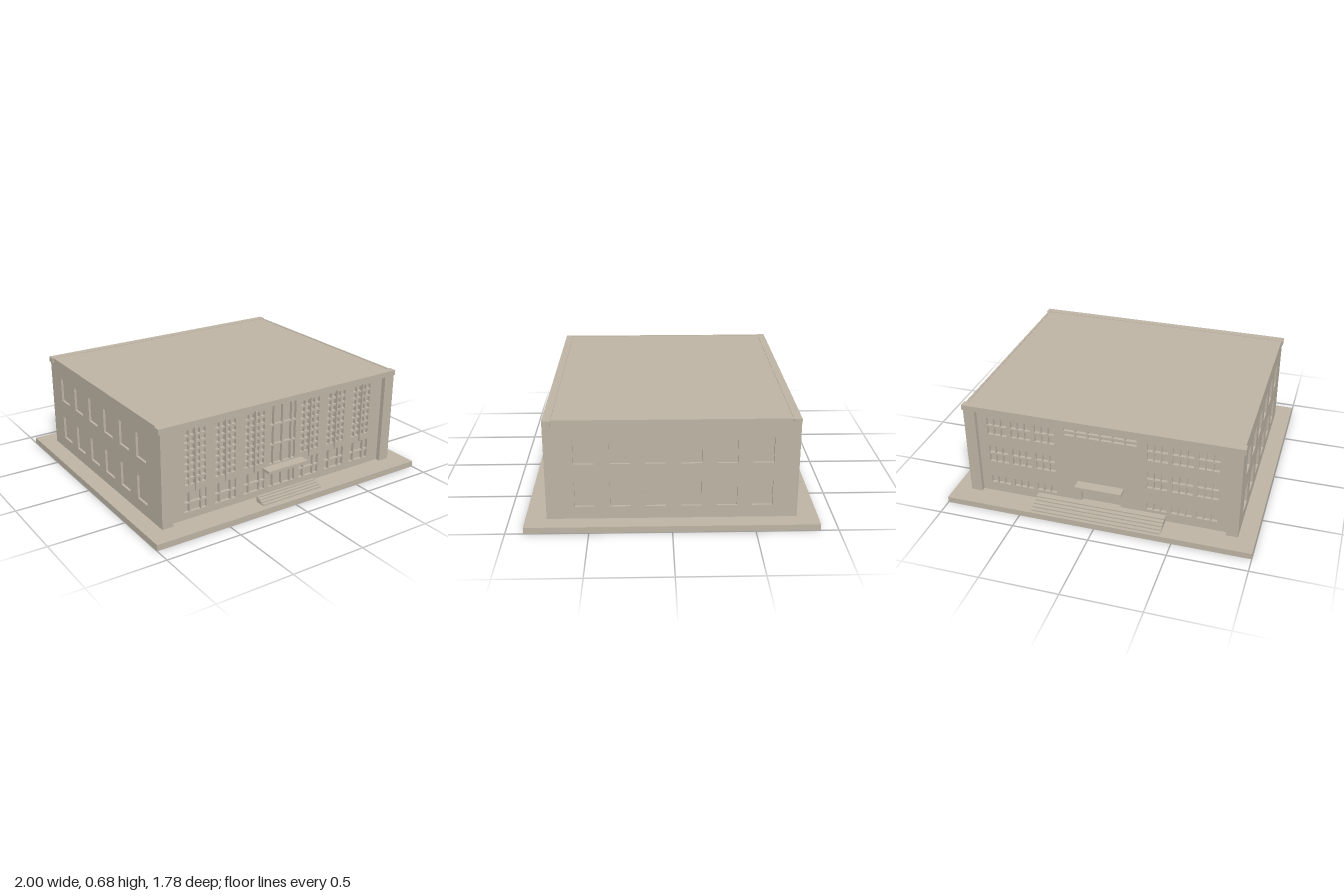
import * as THREE from 'three';

const stone = new THREE.MeshStandardMaterial({ color: 0xbdb4a4 });
stone.name = 'warm grey stone';

// Box given by its extents on each axis
function block(parent, name, x0, x1, y0, y1, z0, z1) {
  const mesh = new THREE.Mesh(new THREE.BoxGeometry(x1 - x0, y1 - y0, z1 - z0), stone);
  mesh.position.set((x0 + x1) / 2, (y0 + y1) / 2, (z0 + z1) / 2);
  mesh.name = name;
  parent.add(mesh);
  return mesh;
}

// Wall slab with rectangular openings, each [x0, x1, y0, y1]
function piercedWall(name, halfWidth, y0, y1, depth, openings) {
  const rect = (P, a, b, c, d) => {
    const p = new P();
    p.moveTo(a, c); p.lineTo(b, c); p.lineTo(b, d); p.lineTo(a, d); p.closePath();
    return p;
  };
  const shape = rect(THREE.Shape, -halfWidth, halfWidth, y0, y1);
  shape.holes = openings.map((o) => rect(THREE.Path, ...o));
  const mesh = new THREE.Mesh(new THREE.ExtrudeGeometry(shape, { depth, bevelEnabled: false }), stone);
  mesh.name = name;
  return mesh;
}

// Grid of panes from column and row intervals
function panes(cx, cols, rows) {
  return cols.flatMap(([a, b]) => rows.map(([c, d]) => [cx + a, cx + b, c, d]));
}

// Flight of steps; each level runs from the back edge to its own front edge
function steps(parent, name, halfWidth, back, front, tread, count, rise) {
  const flight = new THREE.Group();
  flight.name = name;
  for (let i = 0; i < count; i++) {
    block(flight, 'step', -halfWidth, halfWidth, 0.04 + i * rise, 0.04 + (i + 1) * rise, back, front - i * tread);
  }
  parent.add(flight);
}

// Parts shared by the front and rear faces
function face(name, openings) {
  const g = new THREE.Group();
  g.name = name;
  const wall = piercedWall('facadeWall', 0.815, 0.04, 0.645, 0.02, openings);
  wall.position.z = 0.71;
  g.add(wall);
  for (const s of [-1, 1]) {
    block(g, 'cornerPilaster', Math.min(s * 0.815, s * 0.875), Math.max(s * 0.815, s * 0.875), 0.04, 0.645, 0.71, 0.76);
  }
  block(g, 'cornice', -0.9, 0.9, 0.645, 0.68, 0.71, 0.76);
  block(g, 'entranceCanopy', -0.152, 0.152, 0.213, 0.232, 0.73, 0.8);
  return g;
}

export function createModel() {
  const model = new THREE.Group();
  model.name = 'building';
  block(model, 'basePlinth', -1, 1, 0, 0.04, -0.89, 0.89);
  block(model, 'coreAndRoof', -0.875, 0.875, 0.04, 0.677, -0.71, 0.71);

  // Front: six window bays around a tall glazed entrance
  const bays = [-0.642, -0.428, -0.214, 0.214, 0.428, 0.642];
  const gridCols = [0, 1, 2, 3].map((i) => [-0.073 + i * 0.039, -0.044 + i * 0.039]);
  const gridRows = Array.from({ length: 8 }, (_, i) => [0.582 - i * 0.0455, 0.615 - i * 0.0455]);
  const lowCols = [[-0.078, -0.044], [-0.036, 0.036], [0.044, 0.078]];
  const frontOpenings = bays.flatMap((x) => [
    ...panes(x, gridCols, gridRows),
    ...panes(x, lowCols, [[0.085, 0.14], [0.149, 0.218]]),
  ]);
  const entryCols = [[-0.1, -0.072], [-0.064, -0.005], [0.005, 0.064], [0.072, 0.1]];
  frontOpenings.push(...panes(0, entryCols, [[0.085, 0.212], [0.24, 0.364], [0.374, 0.497], [0.508, 0.63]]));
  const front = face('frontFace', frontOpenings);
  for (const x of bays) block(front, 'bayFin', x - 0.005, x + 0.005, 0.22, 0.63, 0.73, 0.742);
  steps(front, 'frontSteps', 0.227, 0.775, 0.85, 0.02, 4, 0.009);
  model.add(front);

  // Rear: three rows of windows each side, small high lights and a doorway
  const rearCols = [[-0.065, -0.027], [-0.019, 0.019], [0.027, 0.065]];
  const rearRows = [[0.105, 0.157], [0.27, 0.325], [0.337, 0.39], [0.475, 0.53], [0.542, 0.595]];
  const rearOpenings = [-0.685, -0.525, -0.365, 0.365, 0.525, 0.685].flatMap((x) => panes(x, rearCols, rearRows));
  const highCols = Array.from({ length: 6 }, (_, i) => [-0.235 + i * 0.08, -0.165 + i * 0.08]);
  rearOpenings.push(...panes(0, highCols, [[0.56, 0.58], [0.592, 0.612]]));
  rearOpenings.push([-0.13, 0.13, 0.085, 0.212]);
  const rear = face('rearFace', rearOpenings);
  steps(rear, 'rearSteps', 0.425, 0.73, 0.87, 0.025, 5, 0.009);
  rear.rotation.y = Math.PI;
  model.add(rear);

  // Side walls: two rows of six recessed windows
  for (const s of [-1, 1]) {
    const openings = [];
    for (let i = 0; i < 6; i++) {
      const c = s * 0.01 + (i - 2.5) * 0.2145;
      openings.push(...panes(c, [[-0.061, 0.061]], [[0.12, 0.28], [0.4, 0.56]]));
    }
    const wall = piercedWall(s > 0 ? 'leftWall' : 'rightWall', 0.76, 0.04, 0.68, 0.015, openings);
    wall.rotation.y = s * Math.PI / 2;
    wall.position.x = s * 0.875;
    model.add(wall);
  }
  return model;
}
